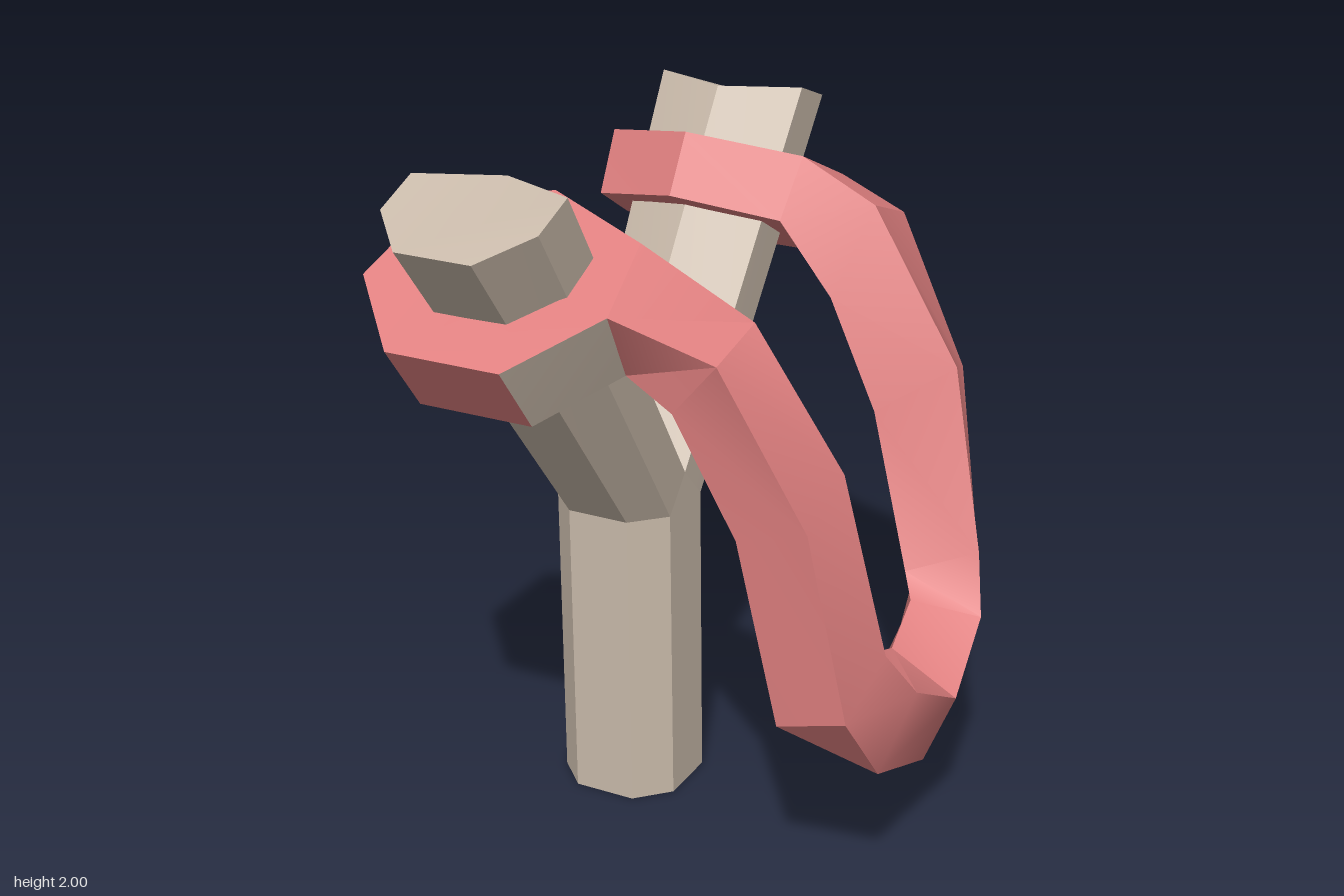
import * as THREE from 'three';
import { toCreasedNormals } from 'three/addons/utils/BufferGeometryUtils.js';

const wood = new THREE.MeshStandardMaterial({ color: 0xc9baaa });
wood.name = 'wood';
const rubber = new THREE.MeshStandardMaterial({ color: 0xe08080 });
rubber.name = 'red rubber';

const CX = -0.34; // centre line of the frame

// Joins equal-length cross-sections; sides listed in altSides use material 1.
function loft(sections, { caps = true, altSides = [] } = {}) {
  const main = [], alt = [];
  const n = sections[0].length;
  for (let s = 0; s < sections.length - 1; s++) {
    const a = sections[s], b = sections[s + 1];
    for (let k = 0; k < n; k++) {
      const j = (k + 1) % n;
      (altSides.includes(k) ? alt : main).push([a[k], a[j], b[j]], [a[k], b[j], b[k]]);
    }
  }
  if (caps) {
    const first = sections[0], last = sections[sections.length - 1];
    for (let k = 1; k < n - 1; k++) {
      main.push([first[0], first[k + 1], first[k]], [last[0], last[k], last[k + 1]]);
    }
  }
  // turn all faces outward, judged by the enclosed volume about the first section
  const origin = new THREE.Vector3(...sections[0][0]);
  const v = (p) => new THREE.Vector3(...p).sub(origin);
  let volume = 0;
  for (const [a, b, c] of [...main, ...alt]) volume += v(a).dot(v(b).cross(v(c)));
  const tris = [...main, ...alt].map((t) => (volume < 0 ? [t[0], t[2], t[1]] : t));
  const geo = new THREE.BufferGeometry();
  geo.setAttribute('position', new THREE.Float32BufferAttribute(tris.flat(2), 3));
  geo.addGroup(0, main.length * 3, 0);
  if (alt.length) geo.addGroup(main.length * 3, alt.length * 3, 1);
  return toCreasedNormals(geo, 0.5);
}

// Seven-sided section, symmetric about the centre line:
// outer flat, outer corner, inner corner as [halfWidth, y, z], then the inner ridge [y, z].
function heptagon(flat, outer, inner, ridge) {
  const at = ([w, y, z], s) => [CX + s * w, y, z];
  return [at(flat, -1), at(flat, 1), at(outer, 1), at(inner, 1),
    [CX, ridge[0], ridge[1]], at(inner, -1), at(outer, -1)];
}

export function createModel() {
  const group = new THREE.Group();
  const add = (name, geo, material) => {
    const mesh = new THREE.Mesh(geo, material);
    mesh.name = name;
    group.add(mesh);
  };

  // Handle: octagonal post
  const z0 = -0.007, R = 0.182, H = 0.092;
  const octagon = (y) => [[-H, R], [H, R], [R, H], [R, -H], [H, -R], [-H, -R], [-R, -H], [-R, H]]
    .map(([x, z]) => [CX + x, y, z + z0]);
  add('handle', loft([octagon(0), octagon(0.9)]), [wood]);

  // Wedge under the fork
  const wedge = (x) => [[CX + x, 0.9, z0 + H], [CX + x, 0.9, z0 - H], [CX + x, 1.0, z0]];
  add('forkWedge', loft([wedge(-R), wedge(R)]), [wood]);

  // Prongs and the bands wrapped around them; the front one sits a little higher
  for (const [side, s, dy] of [['front', 1, 0], ['back', -1, -0.045]]) {
    const base = heptagon([H, 0.9, z0 + s * R], [R, 0.9, z0 + s * H], [R, 1.0, z0], [1.15, z0]);
    const tip = heptagon([0.11, 1.89 + dy, s * 0.92], [0.225, 1.945 + dy, s * 0.8],
      [0.225, 2.0 + dy, s * 0.66], [2.0 + dy, s * 0.57]);
    add(side + 'Prong', loft([base, tip]), [wood]);
  }
  const frontLow = heptagon([0.165, 1.43, 0.765], [0.33, 1.53, 0.58], [0.305, 1.67, 0.345], [1.73, 0.235]);
  const frontTop = heptagon([0.165, 1.62, 0.905], [0.355, 1.73, 0.71], [0.315, 1.84, 0.465], [1.9, 0.345]);
  const backLow = heptagon([0.16, 1.43, -0.77], [0.31, 1.53, -0.58], [0.29, 1.645, -0.385], [1.71, -0.27]);
  const backTop = heptagon([0.16, 1.61, -0.895], [0.335, 1.7, -0.71], [0.305, 1.805, -0.5], [1.87, -0.37]);
  add('frontBand', loft([frontLow, frontTop], { altSides: [1] }), [rubber, wood]);
  add('backBand', loft([backLow, backTop], { altSides: [1] }), [rubber, wood]);

  // Hanging strap: four-cornered sections from the front band round to the back band
  // (outer-face far, outer-face near, inner-face near, inner-face far)
  const strap = [
    [frontTop[2], frontTop[3], frontLow[3], frontLow[2]],
    [[0.27, 1.62, 0.63], [0.27, 1.665, 0.42], [0.11, 1.44, 0.345], [0.13, 1.46, 0.6]],
    [[0.5, 1.2, 0.59], [0.51, 1.29, 0.395], [0.29, 1.16, 0.305], [0.3, 1.14, 0.585]],
    [[0.605, 0.68, 0.57], [0.62, 0.78, 0.355], [0.42, 0.71, 0.285], [0.405, 0.62, 0.56]],
    [[0.62, 0.44, 0.385], [0.675, 0.64, 0.265], [0.46, 0.66, 0.2], [0.41, 0.5, 0.365]],
    [[0.595, 0.27, 0], [0.685, 0.49, 0], [0.49, 0.6, 0], [0.4, 0.38, 0]],
    [[0.56, 0.41, -0.385], [0.65, 0.61, -0.265], [0.46, 0.65, -0.2], [0.365, 0.47, -0.365]],
    [[0.51, 0.7, -0.575], [0.6, 0.76, -0.36], [0.42, 0.71, -0.25], [0.345, 0.65, -0.565]],
    [[0.42, 1.2, -0.64], [0.49, 1.29, -0.41], [0.29, 1.16, -0.3], [0.2, 1.14, -0.6]],
    [[0.2, 1.62, -0.69], [0.2, 1.7, -0.48], [0.12, 1.45, -0.365], [0.1, 1.43, -0.6]],
    [backTop[2], backTop[3], backLow[3], backLow[2]],
  ];
  add('strap', loft(strap, { caps: false }), [rubber]);

  return group;
}
